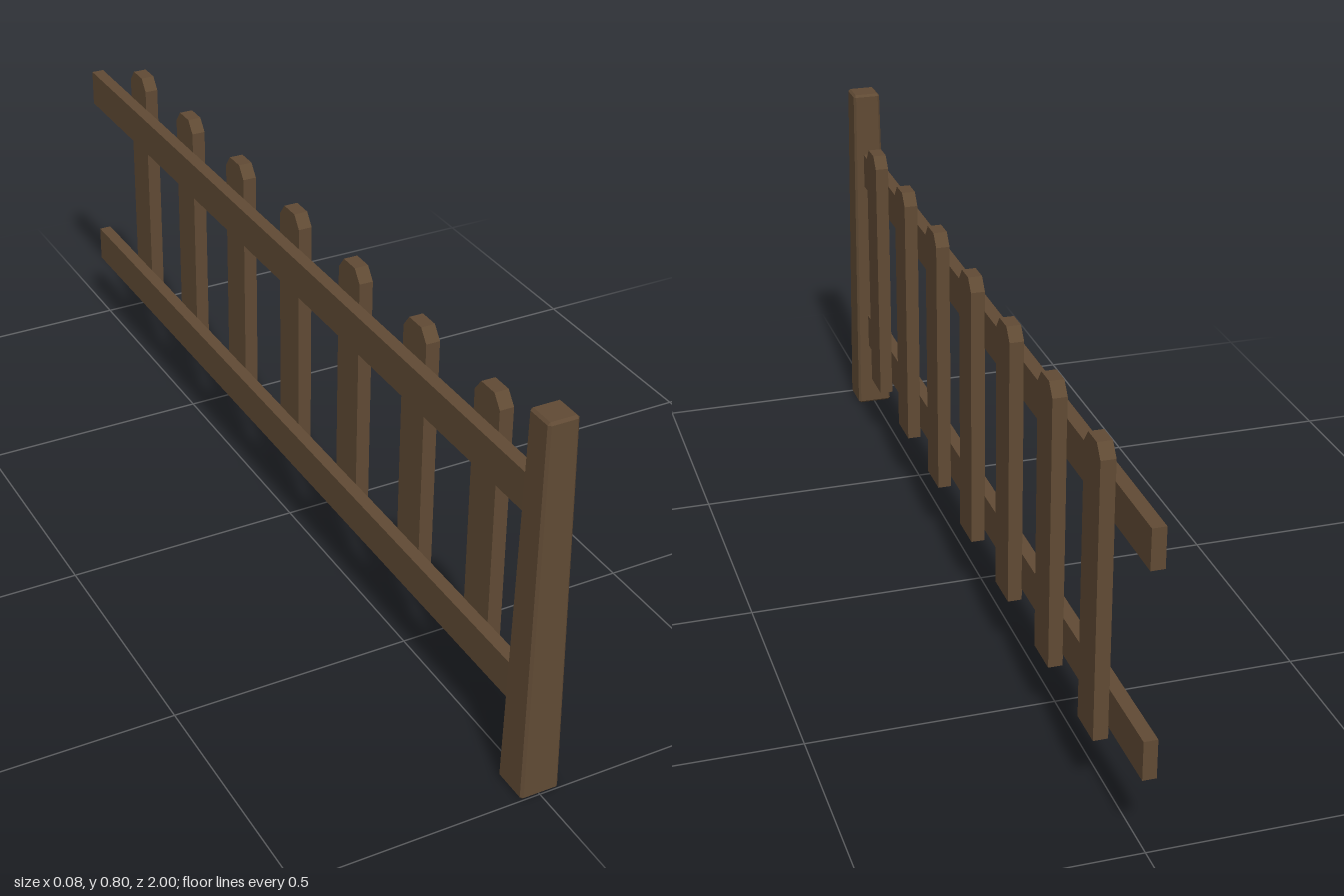
import * as THREE from 'three';
import { ConvexGeometry } from 'three/addons/geometries/ConvexGeometry.js';

const wood = new THREE.MeshStandardMaterial({ color: 0x604a34 });
wood.name = 'brown wood';

// Tapered square post with a small chamfer on every edge
function taperedPost(bottom, top, height, bevel) {
  const points = [];
  for (const end of [0, 1]) {
    const h = end ? top : bottom;
    const y = end ? height : 0;
    const yIn = end ? height - bevel : bevel;
    for (const sx of [-1, 1]) for (const sz of [-1, 1]) {
      points.push(
        new THREE.Vector3(sx * (h - bevel), y, sz * (h - bevel)),
        new THREE.Vector3(sx * h, yIn, sz * (h - bevel)),
        new THREE.Vector3(sx * (h - bevel), yIn, sz * h)
      );
    }
  }
  return new ConvexGeometry(points);
}

// Flat board with clipped top corners, facing +x
function picketGeometry(halfWidth, bottom, top, thickness) {
  const clip = 0.026, flat = 0.022;
  const shape = new THREE.Shape([
    [-halfWidth, bottom], [halfWidth, bottom], [halfWidth, top - clip],
    [flat, top], [-flat, top], [-halfWidth, top - clip]
  ].map(([x, y]) => new THREE.Vector2(x, y)));
  return new THREE.ExtrudeGeometry(shape, { depth: thickness, bevelEnabled: false })
    .rotateY(Math.PI / 2);
}

export function createModel() {
  const fence = new THREE.Group();
  fence.name = 'fence';
  const add = (name, geometry, x, y, z) => {
    const mesh = new THREE.Mesh(geometry, wood);
    mesh.name = name;
    mesh.position.set(x, y, z);
    fence.add(mesh);
  };

  // End post
  add('post', taperedPost(0.04, 0.031, 0.798, 0.005), 0, 0, 0.96);

  // Two rails running back from the post
  const rail = new THREE.BoxGeometry(0.027, 0.08, 1.935);
  add('lowerRail', rail, -0.002, 0.195, -0.0325);
  add('upperRail', rail, -0.002, 0.611, -0.0325);

  // Seven evenly spaced pickets on the left side of the rails
  const picket = picketGeometry(0.042, 0.13, 0.72, 0.029);
  for (let i = 0; i < 7; i++) add('picket' + (i + 1), picket, 0.011, 0, 0.738 - i * 0.254);

  return fence;
}
